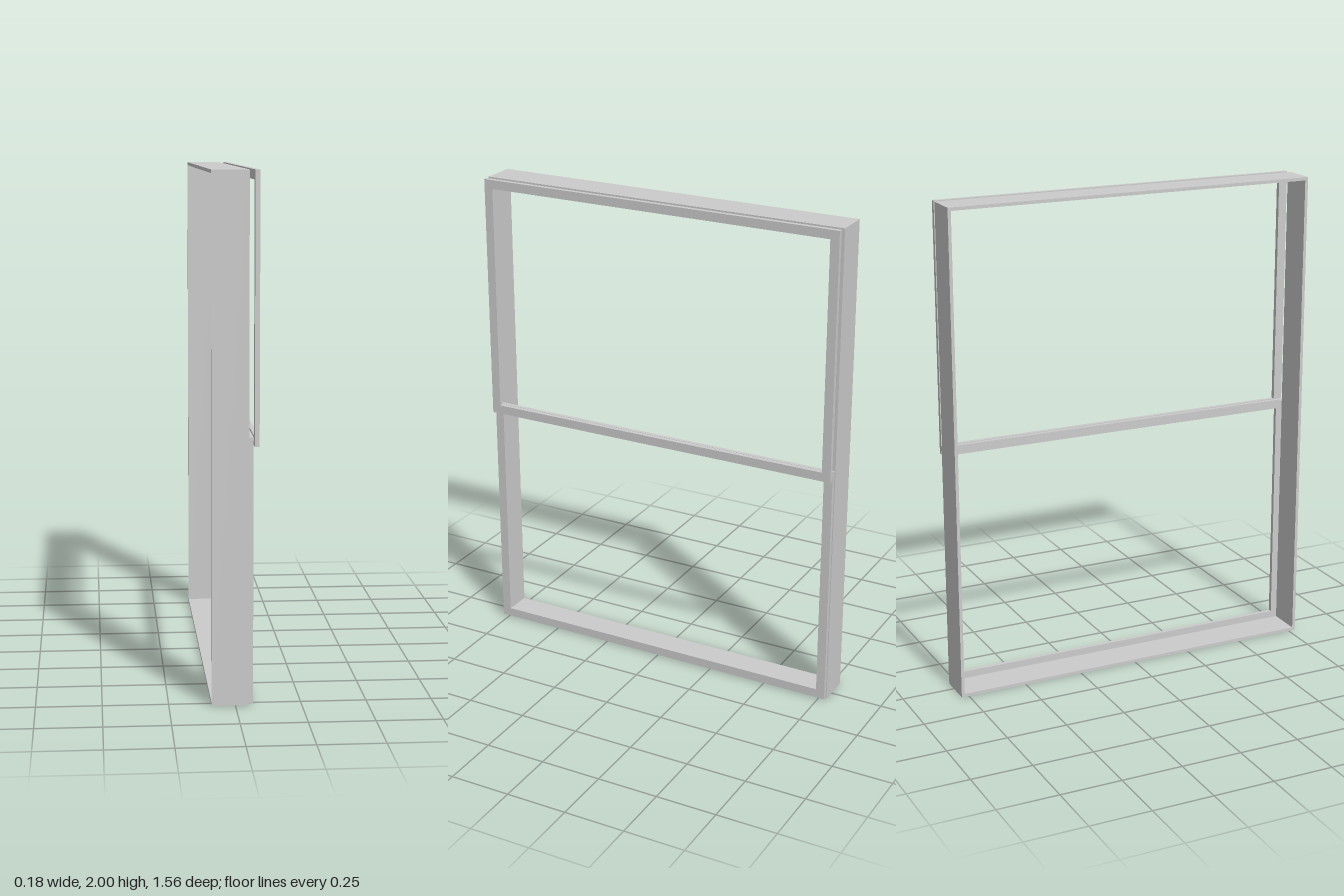
import * as THREE from 'three';

const material = new THREE.MeshStandardMaterial({ color: 0xcccccc });

// Rectangular ring standing in the y-z plane, extruded along x from x0 to x1
function ring(name, x0, x1, y0, y1, halfWidth, border) {
  const rect = (target, w, bottom, top) => {
    target.moveTo(-w, bottom);
    target.lineTo(w, bottom);
    target.lineTo(w, top);
    target.lineTo(-w, top);
    target.closePath();
    return target;
  };
  const shape = rect(new THREE.Shape(), halfWidth, y0, y1);
  shape.holes.push(rect(new THREE.Path(), halfWidth - border, y0 + border, y1 - border));
  const geometry = new THREE.ExtrudeGeometry(shape, { depth: x1 - x0, bevelEnabled: false });
  geometry.rotateY(Math.PI / 2);
  geometry.translate(x0, 0, 0);
  const mesh = new THREE.Mesh(geometry, material);
  mesh.name = name;
  return mesh;
}

export function createModel() {
  const group = new THREE.Group();
  group.name = 'slidingSashWindow';

  // Deep thin-walled casing
  group.add(ring('outerFrame', -0.09, 0.05, 0, 2, 0.781, 0.013));

  // Two slim sashes on neighbouring tracks, overlapping at the middle rail
  group.add(ring('lowerSash', 0.05, 0.067, 0.005, 1.021, 0.777, 0.037));
  group.add(ring('upperSash', 0.071, 0.089, 0.985, 2, 0.777, 0.037));

  return group;
}
